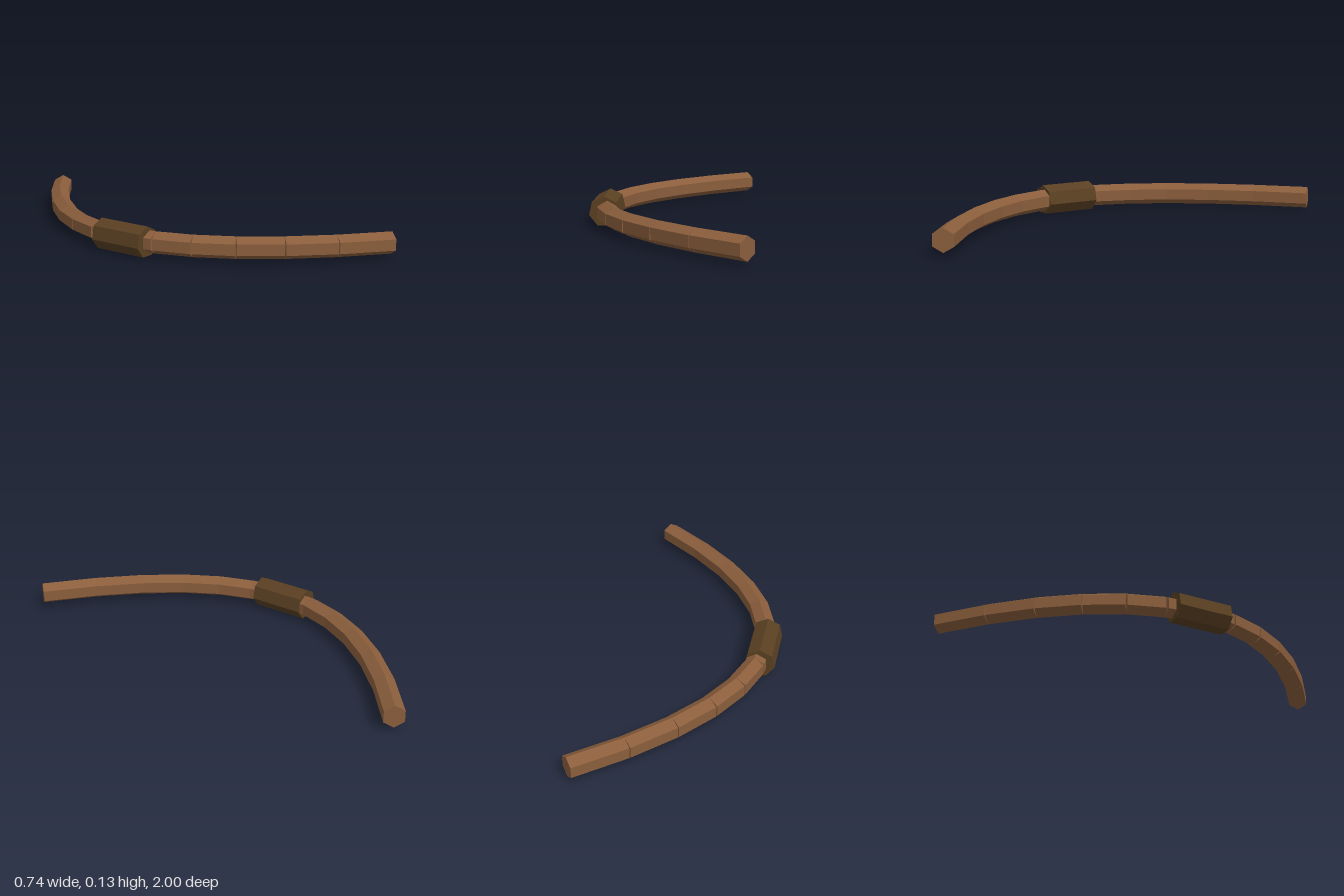
import * as THREE from 'three';

export function createModel() {
  const model = new THREE.Group();
  model.name = 'bow';

  const wood = new THREE.MeshStandardMaterial({ name: 'wood', color: 0x8b5e3c, flatShading: true });
  const leather = new THREE.MeshStandardMaterial({ name: 'dark leather', color: 0x5a4022, flatShading: true });

  const centreY = 0.0635;
  const segments = 6;

  // Prism lying along z with one corner pointing up
  const prism = (radius, length, sides) =>
    new THREE.CylinderGeometry(radius, radius, length, sides).rotateX(-Math.PI / 2);

  // Parabolic centre line, sampled at equal steps in z
  const linePoint = (k, side) =>
    new THREE.Vector3(-0.302 + 0.0179 * k * k, centreY, side * 0.1612 * k);

  // Two mirrored limbs of straight hexagonal pieces
  for (const side of [1, -1]) {
    const limb = new THREE.Group();
    limb.name = side > 0 ? 'frontLimb' : 'backLimb';
    for (let k = 0; k < segments; k++) {
      const a = linePoint(k, side);
      const b = linePoint(k + 1, side);
      const piece = new THREE.Mesh(prism(0.05, a.distanceTo(b), 6), wood);
      piece.name = `limbSegment${k + 1}`;
      piece.position.lerpVectors(a, b, 0.5);
      piece.rotation.y = Math.atan2(b.x - a.x, b.z - a.z);
      limb.add(piece);
    }
    model.add(limb);
  }

  // Seven-sided grip around the middle
  const grip = new THREE.Mesh(prism(0.07, 0.26, 7), leather);
  grip.name = 'grip';
  grip.position.set(-0.302, centreY, 0);
  model.add(grip);

  return model;
}
